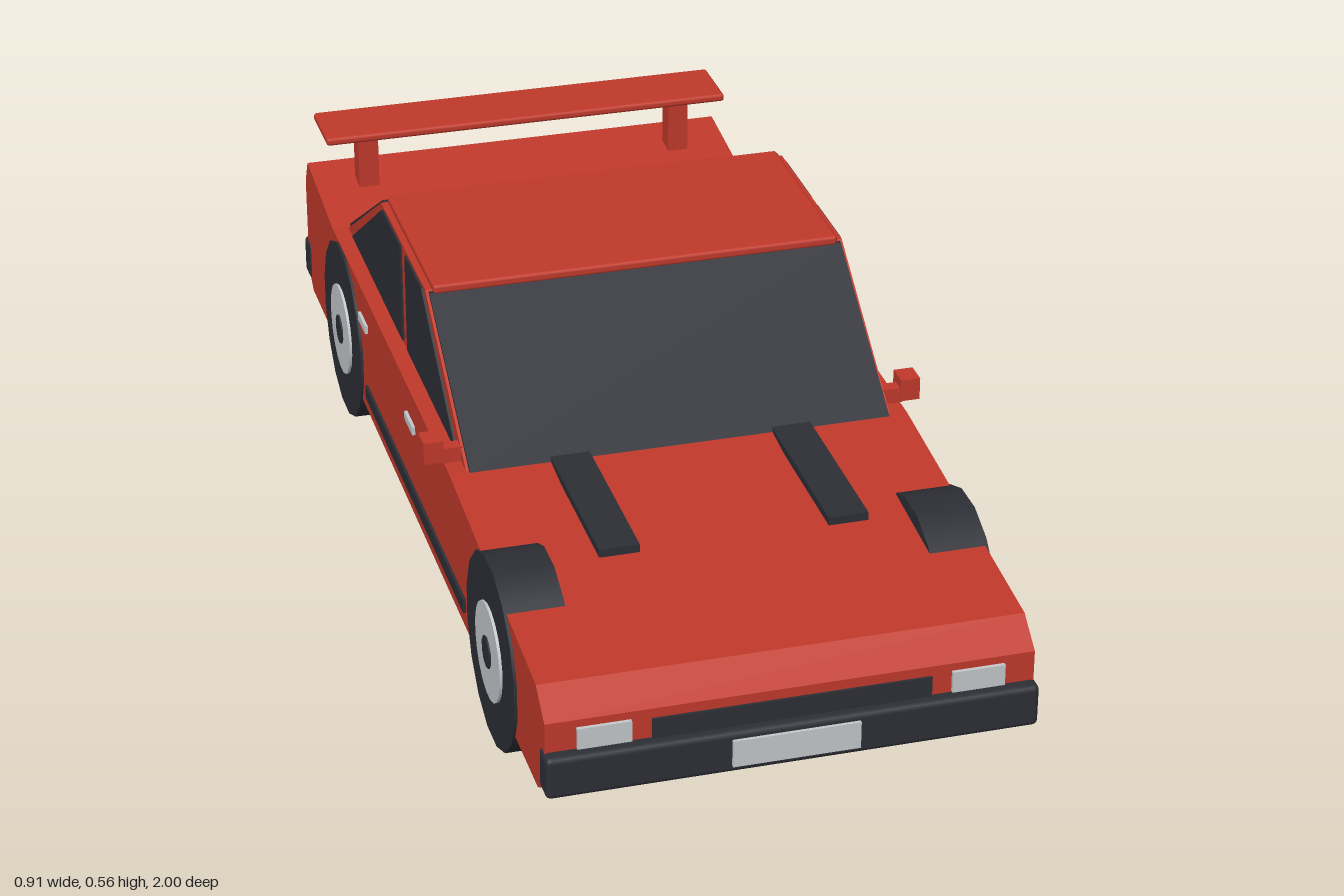
import * as THREE from 'three';
import { RoundedBoxGeometry } from 'three/addons/geometries/RoundedBoxGeometry.js';

const mat = (name, color) => Object.assign(new THREE.MeshStandardMaterial({ color }), { name });

export function createModel() {
  const car = new THREE.Group();
  car.name = 'car';
  const red = mat('red paint', 0xc0392b);
  const dark = mat('dark trim and glass', 0x2d2f36);
  const silver = mat('silver', 0xc4c8cb);

  const add = (name, geometry, material) => {
    const mesh = new THREE.Mesh(geometry, material);
    mesh.name = name;
    car.add(mesh);
    return mesh;
  };
  // Box from its limits on each axis
  const box = (name, material, [x0, x1], [y0, y1], [z0, z1], round = 0) => {
    const size = [x1 - x0, y1 - y0, z1 - z0];
    const g = round ? new RoundedBoxGeometry(...size, 2, round) : new THREE.BoxGeometry(...size);
    g.translate((x0 + x1) / 2, (y0 + y1) / 2, (z0 + z1) / 2);
    return add(name, g, material);
  };
  // Side outline of [z, y] points, extruded from x0 to x1
  const profile = (name, material, points, x0, x1) => {
    const shape = new THREE.Shape(points.map(([z, y]) => new THREE.Vector2(z, y)));
    const g = new THREE.ExtrudeGeometry(shape, { depth: x1 - x0, bevelEnabled: false });
    g.rotateY(-Math.PI / 2).translate(x1, 0, 0);
    return add(name, g, material);
  };
  // Limits on the +x or -x side
  const span = (s, a, b) => (s > 0 ? [a, b] : [-b, -a]);

  // Body shell and cabin
  profile('body', red, [
    [0.92, 0.095], [0.97, 0.125], [0.97, 0.248], [0.915, 0.29], [0.3, 0.345],
    [-0.7, 0.345], [-0.945, 0.375], [-0.972, 0.325], [-0.972, 0.125], [-0.935, 0.095],
  ], -0.42, 0.42);
  profile('cabin', red, [[0.3, 0.343], [0, 0.552], [-0.37, 0.552], [-0.7, 0.343]], -0.389, 0.389);
  box('roof', red, [-0.377, 0.377], [0.547, 0.565], [-0.37, 0.014], 0.006);

  // Windscreen and rear window lie on the cabin slopes
  profile('windscreen', dark, [[0.3, 0.345], [0.309, 0.347], [0.012, 0.55], [0.002, 0.55]], -0.384, 0.384);
  profile('rearWindow', dark, [[-0.7, 0.345], [-0.37, 0.55], [-0.38, 0.552], [-0.709, 0.347]], -0.384, 0.384);

  // Bumpers, number plates
  for (const [end, s] of [['front', 1], ['rear', -1]]) {
    box(end + 'Bumper', dark, [-0.424, 0.424], [0.115, 0.193], span(s, 0.943, 0.994), 0.01);
    box(end + 'Plate', silver, [-0.11, 0.11], [0.13, 0.18], span(s, 0.991, 1));
  }
  box('grille', dark, [-0.24, 0.24], [0.185, 0.23], [0.966, 0.975]);

  // Spoiler wing
  box('spoilerWing', red, [-0.405, 0.405], [0.471, 0.487], [-0.938, -0.806], 0.006);

  // Parts repeated on both sides
  for (const s of [1, -1]) {
    const side = s > 0 ? 'left' : 'right';
    profile(side + 'FrontWindow', dark,
      [[0.235, 0.352], [-0.018, 0.547], [-0.155, 0.547], [-0.155, 0.352]], ...span(s, 0.385, 0.393));
    profile(side + 'BackWindow', dark,
      [[-0.195, 0.352], [-0.195, 0.547], [-0.35, 0.547], [-0.645, 0.352]], ...span(s, 0.385, 0.393));
    box(side + 'Headlight', silver, span(s, 0.275, 0.367), [0.195, 0.234], [0.968, 0.977]);
    box(side + 'RearLight', red, span(s, 0.27, 0.37), [0.25, 0.29], [-0.978, -0.97]);
    box(side + 'HoodStrip', dark, span(s, 0.167, 0.238), [0.338, 0.353], [0.3, 0.632]);
    box(side + 'Sill', dark, span(s, 0.416, 0.425), [0.127, 0.155], [-0.402, 0.41]);
    box(side + 'FrontHandle', silver, span(s, 0.418, 0.426), [0.275, 0.291], [-0.04, 0.025]);
    box(side + 'BackHandle', silver, span(s, 0.418, 0.426), [0.275, 0.291], [-0.446, -0.382]);
    box(side + 'MirrorStem', red, span(s, 0.385, 0.425), [0.345, 0.373], [0.235, 0.26]);
    box(side + 'Mirror', red, span(s, 0.42, 0.456), [0.348, 0.39], [0.22, 0.263]);
    box(side + 'SpoilerPost', red, span(s, 0.297, 0.337), [0.36, 0.475], [-0.88, -0.836]);

    // Wheels: tyre, hub and cap as stacked discs
    for (const [end, z] of [['Front', 0.613], ['Back', -0.61]]) {
      const disc = (part, material, r, x0, x1, n) => {
        const g = new THREE.CylinderGeometry(r, r, x1 - x0, n, 1, false, Math.PI / n);
        g.rotateZ(Math.PI / 2).translate(s * (x0 + x1) / 2, 0.172, z);
        add(side + end + part, g, material);
      };
      disc('Tyre', dark, 0.174, 0.32, 0.425, 16);
      disc('Hub', silver, 0.089, 0.42, 0.43, 20);
      disc('HubCap', dark, 0.029, 0.425, 0.433, 10);
    }
  }
  return car;
}
